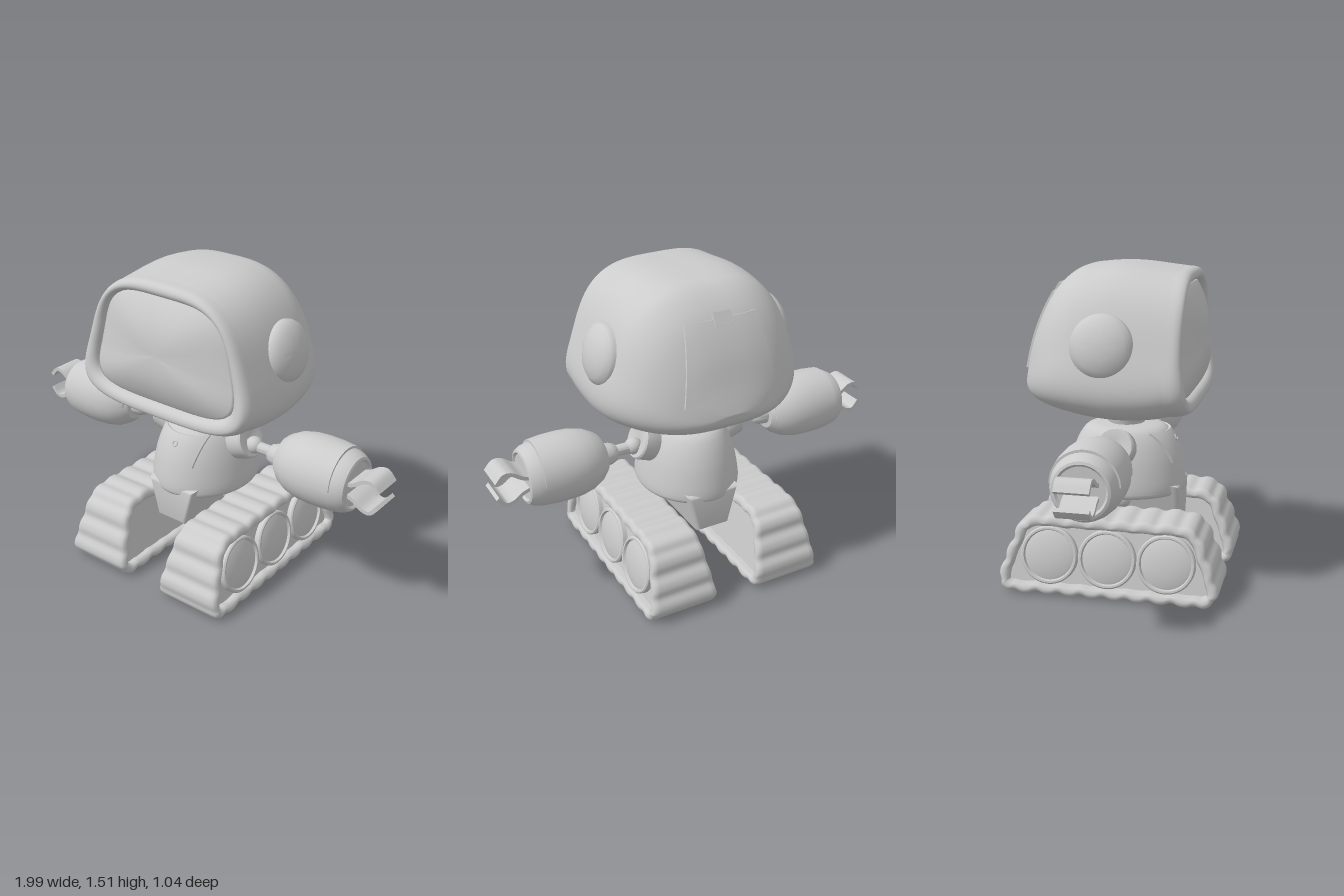
import * as THREE from 'three';
import { toCreasedNormals } from 'three/addons/utils/BufferGeometryUtils.js';

const material = new THREE.MeshStandardMaterial({ color: 0xcccccc });
const thin = new THREE.MeshStandardMaterial({ color: 0xcccccc, side: THREE.DoubleSide });
const V2 = (x, y) => new THREE.Vector2(x, y);

function add(parent, name, geometry, x = 0, y = 0, z = 0, mat = material) {
  const mesh = new THREE.Mesh(geometry, mat);
  mesh.name = name;
  mesh.position.set(x, y, z);
  parent.add(mesh);
  return mesh;
}

// Skin a list of equal-length rings; either cap the ends or join last to first
function loft(rings, loop = false) {
  const n = rings[0].length, m = rings.length, pos = rings.flat(2), index = [];
  for (let i = 0; i < (loop ? m : m - 1); i++) for (let j = 0; j < n; j++) {
    const a = i * n + j, b = i * n + (j + 1) % n, k = ((i + 1) % m) * n;
    const c = k + j, d = k + (j + 1) % n;
    index.push(a, b, c, b, d, c);
  }
  if (!loop) for (let j = 1; j < n - 1; j++) {
    const e = (m - 1) * n;
    index.push(0, j + 1, j, e, e + j, e + j + 1);
  }
  // Face outward whatever the ring direction
  let volume = 0;
  const p = (i) => new THREE.Vector3(pos[3 * i], pos[3 * i + 1], pos[3 * i + 2]);
  for (let i = 0; i < index.length; i += 3) volume += p(index[i]).dot(p(index[i + 1]).cross(p(index[i + 2])));
  if (volume < 0) index.reverse();
  const g = new THREE.BufferGeometry();
  g.setAttribute('position', new THREE.Float32BufferAttribute(pos, 3));
  g.setIndex(index);
  g.computeVertexNormals();
  return g;
}

// Lathe around x, outward end at +x; profile is [x, radius]
function latheX(profile, segments = 48, start = 0, length = Math.PI * 2) {
  return toCreasedNormals(new THREE.LatheGeometry(profile.map(([x, r]) => V2(r, x)), segments, start, length), 0.6)
    .rotateZ(-Math.PI / 2);
}

// Thin raised panel following a surface z = depth(x, y), edges tucked in
function panel(depth, sign, halfBottom, halfTop, y0, y1) {
  const g = new THREE.PlaneGeometry(2, 2, 14, 14), p = g.attributes.position;
  for (let i = 0; i < p.count; i++) {
    const u = p.getX(i), v = p.getY(i), edge = Math.max(Math.abs(u), Math.abs(v)) > 0.99;
    const a = THREE.MathUtils.clamp(u * 7 / 6, -1, 1), t = (THREE.MathUtils.clamp(v * 7 / 6, -1, 1) + 1) / 2;
    const x = sign * a * THREE.MathUtils.lerp(halfBottom, halfTop, t), y = THREE.MathUtils.lerp(y0, y1, t);
    p.setXYZ(i, x, y + (edge ? -0.004 : 0.004), depth(x, y) + sign * (edge ? -0.012 : 0.01));
  }
  return toCreasedNormals(g, 0.7);
}

// Head: stations of [z, top, bottom]
const headCurve = new THREE.CatmullRomCurve3([
  [-0.465, 0.985, 0.98], [-0.455, 1.02, 0.945], [-0.43, 1.1, 0.915], [-0.38, 1.26, 0.88], [-0.3, 1.41, 0.856],
  [-0.2, 1.495, 0.84], [-0.1, 1.515, 0.828], [0.05, 1.52, 0.82], [0.2, 1.505, 0.832], [0.27, 1.497, 0.848],
].map((a) => new THREE.Vector3(...a)), false, 'centripetal');

function headStation(t) {
  const { x: z, y: top, z: bottom } = headCurve.getPoint(t);
  const k = z < 0 ? Math.sqrt(Math.max(1 - Math.pow(-z / 0.4655, 2.8), 0.0005)) : 1 - 0.07 * (z / 0.33) ** 2 * 0.5;
  return { z, yc: (top + bottom) / 2, h: (top - bottom) / 2, w: (y) => k * (0.455 - 0.11 * y), n: z < 0 ? 3.4 + 1.6 * z : 3.4 };
}
const visorStation = { yc: 1.18, h: 0.25, w: (y) => 0.37 - 0.06 * y, n: 4.2 };

// Superellipse outline with a taper from bottom to top
function outline(s, count = 96) {
  return Array.from({ length: count }, (_, i) => {
    const a = (i + 0.5) / count * Math.PI * 2, c = Math.cos(a), d = Math.sin(a);
    const x = Math.sign(c) * Math.pow(Math.abs(c), 2 / s.n), y = Math.sign(d) * Math.pow(Math.abs(d), 2 / s.n);
    return [x * s.w(y), s.yc + y * s.h];
  });
}
const lip = (y) => 0.035 * (1 - THREE.MathUtils.smoothstep(y, 0.85, 1.2));

function headBack(x, y) {
  let lo = 0, hi = 0.75;
  for (let i = 0; i < 30; i++) {
    const t = (lo + hi) / 2, s = headStation(t), v = (y - s.yc) / s.h;
    if (Math.abs(v) ** s.n + Math.abs(x / s.w(v)) ** s.n < 1) hi = t; else lo = t;
  }
  return headStation(hi).z;
}

function buildHead(root) {
  const head = new THREE.Group();
  head.name = 'head';
  root.add(head);
  const rings = [];
  for (let i = 0; i <= 54; i++) {
    const s = headStation(i / 54);
    rings.push(outline(s).map(([x, y]) => [x, y, s.z]));
  }
  // Rolled rim around the visor opening
  const outer = outline(headStation(1)), inner = outline(visorStation);
  for (let i = 1; i <= 14; i++) {
    const a = i / 14 * Math.PI, f = (1 - Math.cos(a)) / 2;
    rings.push(outer.map(([x, y], j) => {
      const yy = THREE.MathUtils.lerp(y, inner[j][1], f);
      const rise = Math.pow(Math.max(Math.sin(a), 0), 0.7);
      return [THREE.MathUtils.lerp(x, inner[j][0], f), yy, 0.272 + 0.06 * rise + lip(yy) * Math.min(1, i / 5)];
    }));
  }
  add(head, 'headShell', loft(rings));
  // Domed visor
  const dome = [1, 0.97, 0.9, 0.8, 0.65, 0.5, 0.35, 0.2, 0.05].map((k) => inner.map(([x, y]) =>
    [x * k, 1.18 + (y - 1.18) * k, 0.3 + 0.08 * (1 - k ** 2.4) + lip(y) * k]));
  add(head, 'visor', loft([inner.map(([x, y]) => [x, y, 0.25]), ...dome]));
  add(head, 'backHatch', panel(headBack, -1, 0.235, 0.18, 1.04, 1.385), 0, 0, 0, thin);
  const latch = add(head, 'hatchLatch', new THREE.BoxGeometry(0.09, 0.06, 0.03), 0, 1.385, headBack(0, 1.385) - 0.004);
  latch.rotation.x = 0.5;
}

function buildTorso(root) {
  const profile = new THREE.SplineCurve([V2(0.28, 0.43), V2(0.29, 0.45), V2(0.285, 0.51), V2(0.262, 0.61),
    V2(0.225, 0.695), V2(0.18, 0.742), V2(0.1, 0.755)]).getPoints(40);
  const body = new THREE.LatheGeometry([V2(0, 0.43), ...profile, V2(0, 0.757)], 64);
  add(root, 'torso', toCreasedNormals(body, 0.7)).scale.x = 0.845;
  const front = (x, y) => {
    const i = profile.findIndex((p) => p.y >= y), a = profile[i - 1], b = profile[i];
    const r = a.x + (b.x - a.x) * (y - a.y) / (b.y - a.y);
    return Math.sqrt(Math.max(r * r - (x / 0.845) ** 2, 0));
  };
  add(root, 'chestPanel', panel(front, 1, 0.105, 0.13, 0.585, 0.725), 0, 0, 0, thin);
  add(root, 'chestButton', new THREE.TorusGeometry(0.013, 0.004, 8, 24), 0, 0.685, front(0, 0.685) + 0.012).rotation.x = -0.5;
  // Hip keel between the tracks
  const shape = new THREE.Shape([V2(-0.115, 0.46), V2(-0.07, 0.295), V2(0.07, 0.295), V2(0.115, 0.46)]);
  const keel = new THREE.ExtrudeGeometry(shape, { depth: 0.5, bevelSize: 0.02, bevelThickness: 0.03, bevelSegments: 4 });
  add(root, 'hipKeel', toCreasedNormals(keel.translate(0, 0, -0.25), 0.7));
  add(root, 'neck', new THREE.CylinderGeometry(0.11, 0.082, 0.12, 40), 0, 0.79, 0);
}

function buildArm(side) {
  const arm = new THREE.Group();
  arm.name = 'arm';
  side.add(arm);
  const disc = latheX([[-0.05, 0], [-0.05, 0.085], [-0.04, 0.09], [0.032, 0.09], [0.04, 0.083], [0.04, 0.045], [0.02, 0]]);
  add(arm, 'shoulderDisc', disc, 0.23, 0.68, 0).rotation.z = 0.37;
  add(arm, 'shoulderBall', new THREE.SphereGeometry(0.042, 24, 16), 0.285, 0.67, 0);
  add(arm, 'upperArm', latheX([[0.27, 0.027], [0.41, 0.027]]), 0, 0.667, 0);
  add(arm, 'forearm', latheX([[0.372, 0], [0.375, 0.03], [0.385, 0.042], [0.41, 0.052], [0.445, 0.056], [0.447, 0.08],
    [0.48, 0.113], [0.53, 0.14], [0.59, 0.154], [0.65, 0.158], [0.72, 0.157], [0.78, 0.151], [0.82, 0.142],
    [0.846, 0.127], [0.85, 0.115], [0.84, 0.105], [0.84, 0]]), 0, 0.662, 0);
  // Raised upper cover; the lathe angle is measured from +z towards the underside
  add(arm, 'forearmCover', latheX([[0.462, 0.094], [0.462, 0.102], [0.48, 0.118], [0.53, 0.145], [0.59, 0.159], [0.65, 0.163],
    [0.72, 0.162], [0.788, 0.155], [0.788, 0.14]], 32, Math.PI, Math.PI), 0, 0.668, 0, thin);
  // Two curved pincers
  for (const s of [1, -1]) {
    const curve = new THREE.SplineCurve([V2(0.82, 0.022), V2(0.87, 0.04), V2(0.915, 0.07), V2(0.955, 0.073), V2(0.99, 0.035)]);
    const top = [], under = [];
    for (let i = 0; i <= 20; i++) {
      const p = curve.getPoint(i / 20), t = curve.getTangent(i / 20);
      top.push(V2(p.x - t.y * 0.009, s * (p.y + t.x * 0.009)));
      under.unshift(V2(p.x + t.y * 0.009, s * (p.y - t.x * 0.009)));
    }
    const strip = new THREE.ExtrudeGeometry(new THREE.Shape([...top, ...under]), { depth: 0.15, bevelEnabled: false });
    add(arm, 'pincer', toCreasedNormals(strip, 0.6), 0, 0.662, -0.075);
  }
}

// Tracks: side profile in (z, y), narrower towards the top
const half = [[0.2, 0.383], [0.35, 0.38], [0.42, 0.345], [0.47, 0.24], [0.512, 0.12], [0.515, 0.05], [0.465, 0.014], [0.3, 0.012]];
const trackCurve = new THREE.CatmullRomCurve3([...half, ...half.map(([z, y]) => [-z, y]).reverse()]
  .map(([z, y]) => new THREE.Vector3(z, y, 0)), true, 'centripetal');
const halfWidth = (y) => 0.185 - 0.065 * y / 0.39;

function trackPoint(t, inset) {
  const p = trackCurve.getPointAt(t), d = trackCurve.getTangentAt(t);
  return [p.x + d.y * inset, p.y - d.x * inset];
}

function buildTrack(side) {
  const track = new THREE.Group();
  track.name = 'track';
  side.add(track);
  const edge = [[0.8, 0], [0.92, 0.003], [0.98, 0.013], [1, 0.027], [0.97, 0.042], [0.9, 0.052]];
  const section = [...edge.map(([a, d]) => [-a, d]).reverse(), ...edge];
  const rings = [], count = 240, treads = 24;
  for (let i = 0; i < count; i++) {
    const t = i / count, wave = 0.012 * Math.pow(Math.abs(Math.cos(t * treads * Math.PI)), 3);
    rings.push(section.map(([a, d]) => {
      const [z, y] = trackPoint(t, d + wave * (d < 0.04 ? 1 : 0.3));
      return [0.28 + a * halfWidth(y), Math.max(y, 0), z];
    }));
  }
  add(track, 'trackBelt', loft(rings, true));
  // Recessed side plates closing the belt
  const shape = new THREE.Shape(Array.from({ length: 80 }, (_, i) => V2(...trackPoint(i / 80, 0.04))));
  const plate = new THREE.ExtrudeGeometry(shape, { depth: 2, bevelEnabled: false }).translate(0, 0, -1).rotateY(Math.PI / 2);
  const p = plate.attributes.position;
  for (let i = 0; i < p.count; i++) p.setX(i, 0.28 + p.getX(i) * (halfWidth(p.getY(i)) - 0.035));
  add(track, 'trackPlate', toCreasedNormals(plate, 0.5));
  for (const z of [-0.275, 0, 0.275]) {
    const wheel = latheX([[-0.07, 0.136], [-0.006, 0.136], [0, 0.13], [0, 0.121], [-0.012, 0.116], [-0.006, 0.1], [0.002, 0.05], [0.004, 0]]);
    add(track, 'wheel', wheel, 0.427, 0.2, z).rotation.z = 0.165;
  }
  // Hip joint and strut
  add(track, 'hipBall', new THREE.SphereGeometry(0.045, 24, 16), 0.115, 0.395, 0);
  add(track, 'hipStrut', new THREE.CylinderGeometry(0.024, 0.024, 0.15, 20), 0.14, 0.33, 0).rotation.z = 0.5;
  add(track, 'hipKnob', new THREE.SphereGeometry(0.03, 20, 14), 0.158, 0.27, 0);
}

export function createModel() {
  const root = new THREE.Group();
  root.name = 'robot';
  buildHead(root);
  buildTorso(root);
  for (const s of [1, -1]) {
    const side = new THREE.Group();
    side.name = s > 0 ? 'leftSide' : 'rightSide';
    side.rotation.y = s > 0 ? 0 : Math.PI;
    root.add(side);
    const ear = latheX([[-0.06, 0.143], [0.005, 0.143], [0.022, 0.136], [0.042, 0.11], [0.057, 0.07], [0.064, 0.03], [0.065, 0]]);
    add(side, 'ear', ear, 0.438, 1.19, -0.015 * s).rotation.z = 0.23;
    buildArm(side);
    buildTrack(side);
  }
  return root;
}
